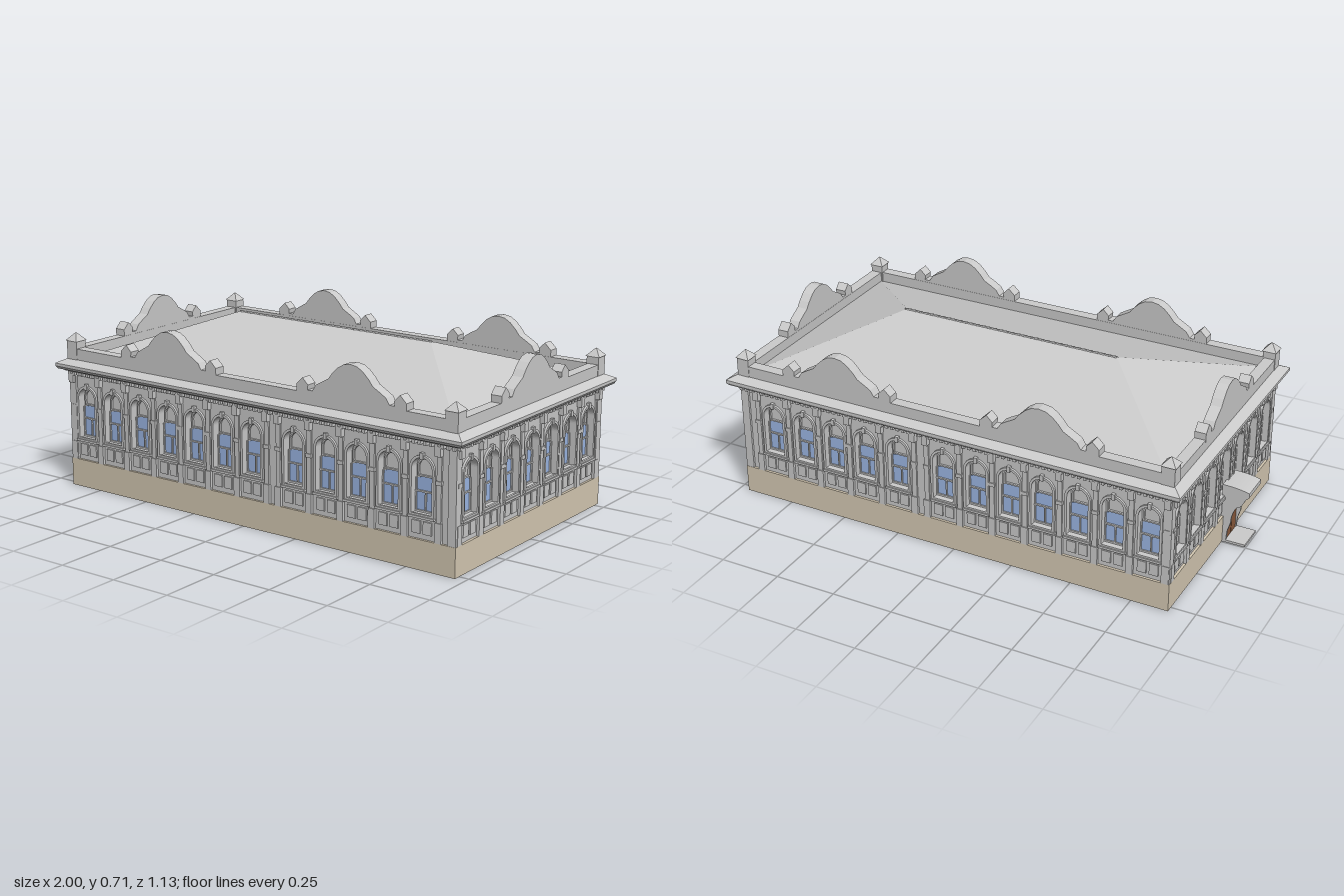
import * as THREE from 'three';
import { mergeGeometries } from 'three/addons/utils/BufferGeometryUtils.js';

const mat = (color) => new THREE.MeshStandardMaterial({ color, flatShading: true, side: THREE.DoubleSide });
const stone = mat(0xcccccc), plinthMat = mat(0xd6cab4), glassMat = mat(0x9db8e6), doorMat = mat(0x8a5a3c);
const CX = 0.03, HX = 0.92, HZ = 0.518; // wall planes, measured from the building centre

// box from centre x, bottom and top y, back and front z
function box(x, w, y0, y1, z0, z1) {
  return new THREE.BoxGeometry(w, y1 - y0, z1 - z0).translate(x, (y0 + y1) / 2, (z0 + z1) / 2).toNonIndexed();
}
// rectangular frustum
function taper(w0, d0, w1, d1, y0, y1) {
  const g = new THREE.BoxGeometry(1, 1, 1).toNonIndexed(), p = g.attributes.position;
  for (let i = 0; i < p.count; i++) {
    const top = p.getY(i) > 0;
    p.setXYZ(i, p.getX(i) * (top ? w1 : w0), top ? y1 : y0, p.getZ(i) * (top ? d1 : d0));
  }
  g.computeVertexNormals();
  return g;
}
function extrude(shape, z0, z1) {
  return new THREE.ExtrudeGeometry(shape, { depth: z1 - z0, bevelEnabled: false, curveSegments: 12 }).translate(0, 0, z0);
}
function add(group, name, geos, material = stone) {
  const m = new THREE.Mesh(mergeGeometries([].concat(geos)), material);
  m.name = name;
  group.add(m);
  return m;
}
// round-headed window outline
function arch(C, u, r, y0, spring) {
  const s = new C();
  s.moveTo(u - r, y0);
  s.lineTo(u + r, y0);
  s.lineTo(u + r, spring);
  s.absarc(u, spring, r, 0, Math.PI, false);
  s.lineTo(u - r, y0);
  return s;
}
// curved gable with a small scroll block at each end
function pediment(u) {
  const half = [[0.243, 0.57], [0.243, 0.605], [0.215, 0.632], [0.19, 0.607], [0.192, 0.588], [0.17, 0.588],
    [0.155, 0.612], [0.13, 0.627], [0.112, 0.637], [0.098, 0.645], [0.08, 0.668], [0.055, 0.692], [0.03, 0.707], [0, 0.712]];
  const pts = half.concat(half.slice(0, -1).reverse().map(([x, y]) => [-x, y]));
  return new THREE.Shape(pts.map(([x, y]) => new THREE.Vector2(x + u, y)));
}

// one side of the building: x runs along it, z points outward, z = 0 is the wall plane
function facade(name, half, windows, gables) {
  const g = new THREE.Group();
  g.name = name;

  // wall with arched openings
  const wall = new THREE.Shape();
  wall.moveTo(-half, 0.11).lineTo(half, 0.11).lineTo(half, 0.48).lineTo(-half, 0.48).closePath();
  windows.forEach((u) => wall.holes.push(arch(THREE.Path, u, 0.043, 0.208, 0.375)));
  add(g, 'wall', extrude(wall, -0.028, 0));

  const surrounds = [], glass = [], frames = [], panels = [];
  for (const u of windows) {
    const ring = arch(THREE.Shape, u, 0.053, 0.2, 0.375);
    ring.holes.push(arch(THREE.Path, u, 0.043, 0.21, 0.375));
    surrounds.push(extrude(ring, 0, 0.009));
    const inner = arch(THREE.Shape, u, 0.036, 0.34, 0.375);
    inner.holes.push(arch(THREE.Path, u, 0.03, 0.346, 0.375));
    surrounds.push(extrude(inner, -0.026, -0.018));
    surrounds.push(box(u, 0.014, 0.413, 0.437, 0, 0.013)); // keystone
    surrounds.push(box(u, 0.112, 0.194, 0.203, 0, 0.014)); // sill
    // glass with a slightly bowed head
    const pane = new THREE.Shape();
    pane.moveTo(u - 0.043, 0.208).lineTo(u + 0.043, 0.208).lineTo(u + 0.043, 0.33);
    pane.quadraticCurveTo(u, 0.35, u - 0.043, 0.33);
    glass.push(extrude(pane, -0.03, -0.023));
    frames.push(box(u, 0.005, 0.21, 0.285, -0.024, -0.017), box(u, 0.086, 0.283, 0.289, -0.024, -0.016),
      box(u, 0.086, 0.208, 0.215, -0.024, -0.017));
    for (const s of [-1, 1]) {
      frames.push(box(u + s * 0.041, 0.005, 0.208, 0.335, -0.024, -0.017));
      panels.push(box(u + s * 0.024, 0.036, 0.135, 0.183, 0, 0.006)); // apron panels
    }
  }
  add(g, 'windowSurrounds', surrounds);
  add(g, 'windowGlass', glass, glassMat);
  add(g, 'windowFrames', frames);
  add(g, 'apronPanels', panels);

  // pilasters and eaves brackets between windows
  const piers = [], spots = [];
  windows.flatMap((u) => [u - 0.072, u + 0.072]).sort((a, b) => a - b)
    .forEach((u) => { if (!spots.some((v) => Math.abs(u - v) < 0.02)) spots.push(u); });
  for (const u of spots) {
    piers.push(box(u, 0.02, 0.115, 0.435, 0, 0.007), box(u, 0.028, 0.115, 0.19, 0, 0.011),
      box(u, 0.026, 0.33, 0.345, 0, 0.011), box(u, 0.025, 0.437, 0.475, 0, 0.02));
  }
  for (const s of [-1, 1]) piers.push(box(s * (half - 0.008), 0.034, 0.115, 0.475, -0.02, 0.009));
  add(g, 'pilasters', piers);

  // dentil course
  const dentils = [], n = Math.round(2 * half / 0.024);
  for (let i = 0; i <= n; i++) dentils.push(box(-half + (2 * half * i) / n, 0.012, 0.469, 0.487, 0, 0.02));
  add(g, 'dentils', dentils);

  // parapet and gables
  add(g, 'parapet', box(0, 2 * half + 0.02, 0.525, 0.578, -0.034, 0.011));
  add(g, 'gables', gables.map((u) => extrude(pediment(u), -0.033, 0.0125)));
  return g;
}

export function createModel() {
  const model = new THREE.Group();
  const house = new THREE.Group();
  house.name = 'building';
  house.position.x = CX;
  model.add(house);

  // plinth, inner core and plinth ledge
  add(house, 'plinth', box(0, 1.86, 0, 0.115, -0.528, 0.528), plinthMat);
  add(house, 'core', box(0, 2 * HX - 0.052, 0.1, 0.53, -HZ + 0.026, HZ - 0.026));

  // four sides
  const longWin = [-0.84, -0.697, -0.554, -0.408, -0.27, -0.13, 0.013, 0.212, 0.36, 0.5, 0.64, 0.783];
  const sideWin = [-0.43, -0.287, -0.144, 0, 0.142, 0.284, 0.427];
  const flip = (a) => a.map((v) => -v);
  const sides = [
    ['frontSide', HX, longWin, [-0.395, 0.475], 0, HZ],
    ['backSide', HX, flip(longWin), [0.395, -0.475], Math.PI, HZ],
    ['leftSide', HZ, sideWin, [0], Math.PI / 2, HX],
    ['rightSide', HZ, flip(sideWin), [0], -Math.PI / 2, HX],
  ];
  for (const [name, half, wins, gables, angle, dist] of sides) {
    const f = facade(name, half, wins, gables);
    f.rotation.y = angle;
    f.position.set(Math.sin(angle) * dist, 0, Math.cos(angle) * dist);
    house.add(f);
  }

  // cornice mouldings
  add(house, 'cornice', [
    taper(1.885, 1.08, 1.90, 1.095, 0.484, 0.492),
    taper(1.925, 1.115, 1.94, 1.13, 0.492, 0.503),
    taper(1.94, 1.13, 1.94, 1.13, 0.503, 0.515),
    taper(1.94, 1.13, 1.87, 1.06, 0.515, 0.533),
  ]);

  // corner posts with pointed caps
  const posts = [];
  for (const sx of [-1, 1]) for (const sz of [-1, 1]) {
    posts.push(box(0, 0.052, 0.525, 0.61, -0.026, 0.026).translate(sx * 0.907, 0, sz * 0.505));
    posts.push(taper(0.06, 0.06, 0.004, 0.004, 0.608, 0.638).translate(sx * 0.907, 0, sz * 0.505));
  }
  add(house, 'cornerPosts', posts);

  // hipped roof in overlapping tile courses
  const courses = [], N = 20, y0 = 0.533, y1 = 0.697;
  const w = (t) => 1.79 + (0.93 - 1.79) * t, d = (t) => 0.98 + (0.002 - 0.98) * t;
  for (let i = 0; i < N; i++) {
    const a = i / N, b = (i + 1) / N;
    courses.push(taper(w(a) + 0.006, d(a) + 0.006, w(b), d(b), y0 + (y1 - y0) * a, y0 + (y1 - y0) * b));
  }
  add(house, 'roof', courses).position.x = 0.003;

  // ridge tiles
  const ridge = [];
  for (let i = 0; i < 36; i++) {
    ridge.push(new THREE.CylinderGeometry(0.006, 0.004, 0.026, 6).rotateZ(Math.PI / 2).translate(-0.448 + i * 0.026, 0.696, 0));
  }
  add(house, 'ridgeTiles', ridge);

  // side entrance: curved hood, bracket plates, door and step
  const porch = new THREE.Group();
  porch.name = 'entrance';
  porch.position.z = 0.064;
  model.add(porch);
  const hood = new THREE.Shape();
  hood.moveTo(-0.89, 0.21).lineTo(-0.985, 0.21).lineTo(-1, 0.225).lineTo(-1, 0.244);
  hood.quadraticCurveTo(-0.96, 0.257, -0.89, 0.257);
  add(porch, 'hood', extrude(hood, -0.062, 0.062));
  const plate = new THREE.Shape();
  plate.moveTo(-0.89, 0.212).lineTo(-0.985, 0.212);
  plate.quadraticCurveTo(-0.975, 0.175, -0.95, 0.165);
  plate.quadraticCurveTo(-0.93, 0.13, -0.93, 0.09);
  plate.lineTo(-0.918, 0.05).lineTo(-0.915, 0).lineTo(-0.89, 0);
  add(porch, 'bracketPlates', [extrude(plate, -0.06, -0.05), extrude(plate, 0.05, 0.06)]);
  add(porch, 'door', [-1, 1].map((s) => box(-0.905, 0.016, 0.01, 0.18, s * 0.025 - 0.023, s * 0.025 + 0.023)), doorMat);
  add(porch, 'step', box(-0.945, 0.1, 0, 0.01, -0.06, 0.06));
  return model;
}
